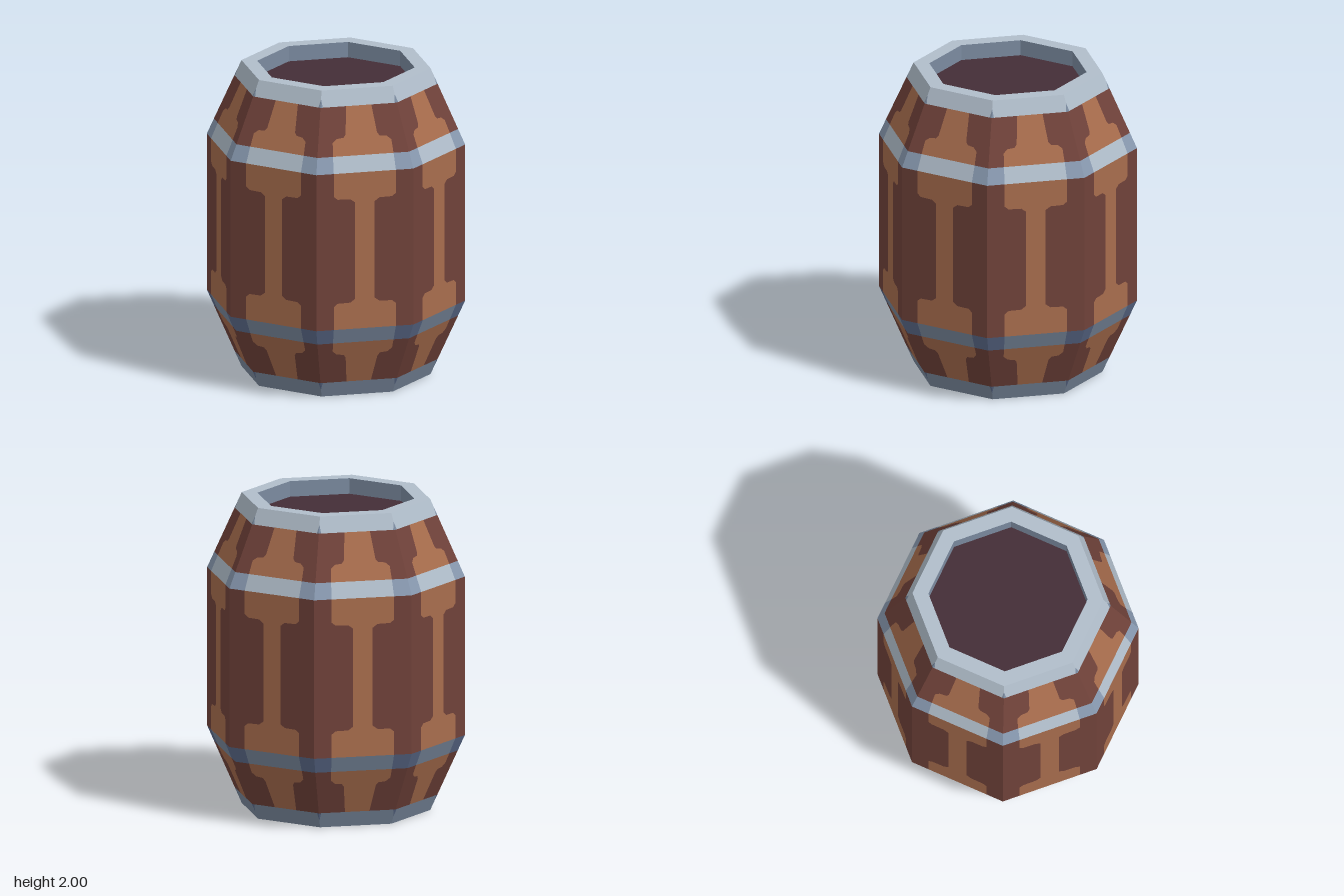
import * as THREE from 'three';
import { mergeGeometries } from 'three/addons/utils/BufferGeometryUtils.js';

const SIDES = 8;
const STEP = (Math.PI * 2) / SIDES;

const mat = (name, color) => {
  const m = new THREE.MeshStandardMaterial({ color });
  m.name = name;
  return m;
};

// Barrel outline: corner radius at a given height
const radiusAt = (y) => {
  const d = Math.abs(y - 1);
  return d <= 0.51 ? 0.82 : 0.82 - (0.22 * (d - 0.51)) / 0.49;
};

// Point on one flat side: u runs from -1 (one corner) to 1 (the next)
const facetPoint = (side, u, y) => {
  const r = radiusAt(y), t = (u + 1) / 2;
  const a = side * STEP, b = a + STEP;
  return [
    r * (Math.sin(a) * (1 - t) + Math.sin(b) * t),
    y,
    r * (Math.cos(a) * (1 - t) + Math.cos(b) * t),
  ];
};

// Each section: parts for the centre and the edges, then [height, half width of the centre]
const SECTIONS = [
  ['lowerRim', 'lowerRimTicks', [[0, 1], [0.05, 1], [0.1, 0.94]]],
  ['woodGrain', 'staves', [[0.1, 0.32], [0.28, 0.37], [0.3, 0.42], [0.305, 0.58], [0.33, 0.67], [0.39, 0.66]]],
  ['lowerHoop', 'lowerHoopCorners', [[0.39, 0.66], [0.49, 0.64]]],
  ['woodGrain', 'staves', [
    [0.49, 0.64], [0.64, 0.64], [0.66, 0.56], [0.662, 0.3], [0.685, 0.2],
    [1.315, 0.2], [1.338, 0.3], [1.34, 0.56], [1.36, 0.64], [1.51, 0.64]]],
  ['upperHoop', 'upperHoopCorners', [[1.51, 0.64], [1.61, 0.66]]],
  ['woodGrain', 'staves', [[1.61, 0.66], [1.69, 0.67], [1.712, 0.58], [1.717, 0.42], [1.735, 0.37], [1.9, 0.33]]],
  ['upperRim', 'upperRimTicks', [[1.9, 0.94], [1.95, 1], [2, 1]]],
];

const flat = (g) => {
  const n = g.index ? g.toNonIndexed() : g;
  n.deleteAttribute('uv');
  n.computeVertexNormals();
  return n;
};

export function createModel() {
  const group = new THREE.Group();
  group.name = 'barrel';

  const darkWood = mat('dark red wood', 0x70423a);
  const lightWood = mat('light orange wood', 0xa86d4d);
  const lidWood = mat('lid wood', 0x442e37);
  const steel = mat('light steel', 0xb0bdca);
  const blueSteel = mat('blue steel', 0x8899b0);
  const slate = mat('slate steel', 0x7b8ba0);
  const darkSlate = mat('dark blue steel', 0x5d6c8c);

  const add = (name, geometry, material) => {
    const mesh = new THREE.Mesh(geometry, material);
    mesh.name = name;
    group.add(mesh);
  };

  // Painted sides, gathered per part
  const parts = {};
  const quad = (part, side, y0, y1, l0, r0, l1, r1) => {
    const a = facetPoint(side, l0, y0), b = facetPoint(side, r0, y0);
    const c = facetPoint(side, r1, y1), d = facetPoint(side, l1, y1);
    const list = (parts[part] ??= []);
    if (r0 > l0) list.push(...a, ...b, ...c);
    if (r1 > l1) list.push(...a, ...c, ...d);
  };
  for (let side = 0; side < SIDES; side++) {
    for (const [centre, edge, rows] of SECTIONS) {
      for (let i = 0; i < rows.length - 1; i++) {
        const [y0, h0] = rows[i], [y1, h1] = rows[i + 1];
        quad(centre, side, y0, y1, -h0, h0, -h1, h1);
        quad(edge, side, y0, y1, -1, -h0, -1, -h1);
        quad(edge, side, y0, y1, h0, 1, h1, 1);
      }
    }
  }
  const partMaterials = {
    staves: darkWood, woodGrain: lightWood,
    upperHoop: steel, upperHoopCorners: blueSteel, upperRim: steel, upperRimTicks: slate,
    lowerHoop: slate, lowerHoopCorners: darkSlate, lowerRim: slate, lowerRimTicks: darkSlate,
  };
  for (const [name, points] of Object.entries(parts)) {
    const g = new THREE.BufferGeometry();
    g.setAttribute('position', new THREE.Float32BufferAttribute(points, 3));
    g.computeVertexNormals();
    add(name, g, partMaterials[name]);
  }

  // Rim faces and recessed lids at both ends
  const end = (geometry, y, dir) => flat(geometry.rotateX((-dir * Math.PI) / 2).translate(0, y, 0));
  add('upperRimFace', end(new THREE.RingGeometry(0.5, 0.6, SIDES), 2, 1), steel);
  add('lowerRimFace', end(new THREE.RingGeometry(0.5, 0.6, SIDES), 0, -1), slate);
  add('lids', mergeGeometries([
    end(new THREE.CircleGeometry(0.5, SIDES), 1.9, 1),
    end(new THREE.CircleGeometry(0.5, SIDES), 0.1, -1),
  ]), lidWood);

  // Inner rim walls, mirrored so they face inward
  const wall = (y) => {
    const g = new THREE.CylinderGeometry(0.5, 0.5, 0.1, SIDES, 1, true);
    return flat(g.scale(-1, 1, 1).translate(0, y, 0));
  };
  add('innerRimWalls', mergeGeometries([wall(1.95), wall(0.05)]), slate);

  return group;
}
